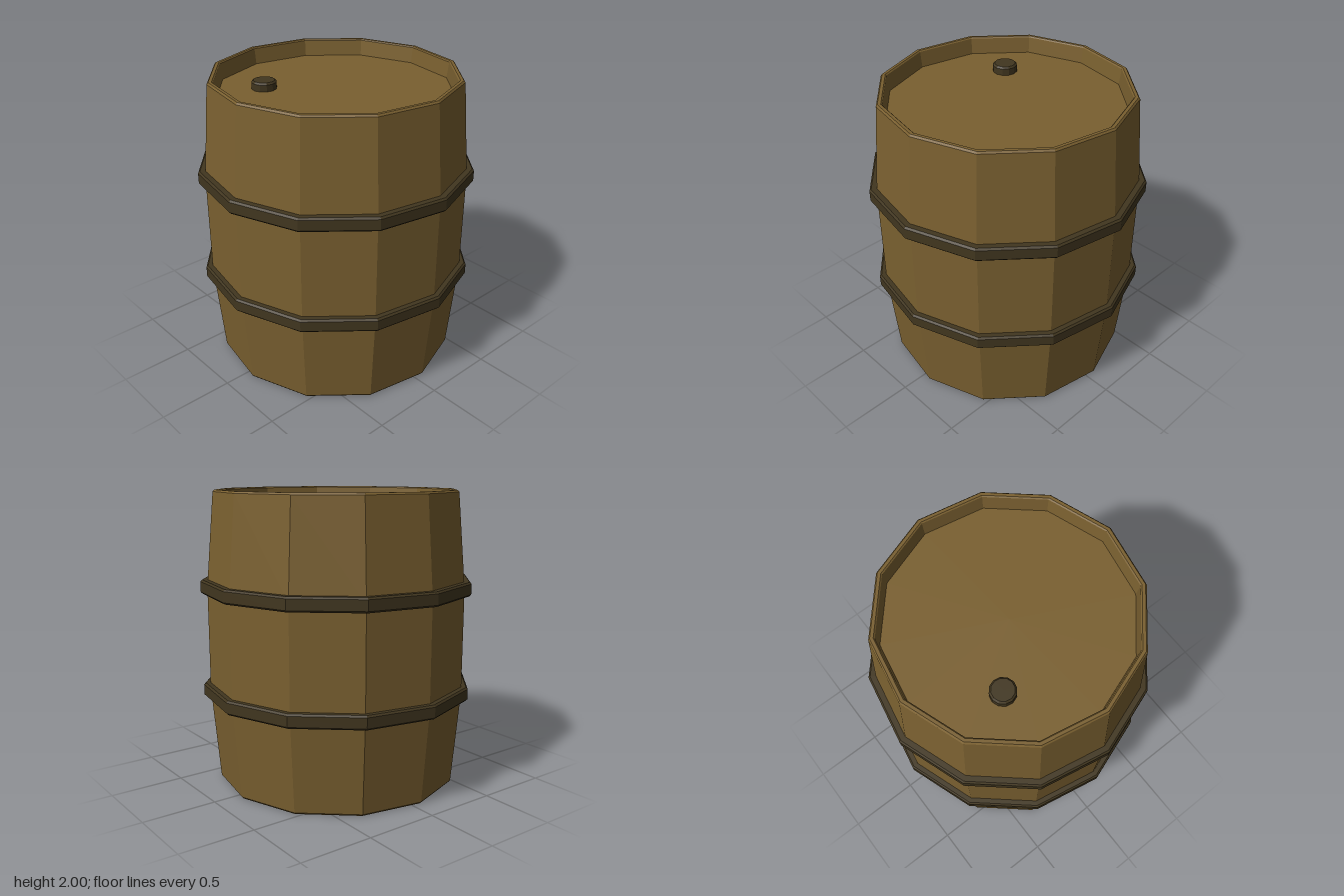
import * as THREE from 'three';

const SIDES = 12;
const TWIST = THREE.MathUtils.degToRad(4.4);
const BUNG = { x: -0.343, z: -0.313, r: 0.083 };
const RECESS = 0.115;

const wood = new THREE.MeshStandardMaterial({ color: 0x7a6030, flatShading: true });
const iron = new THREE.MeshStandardMaterial({ color: 0x41361f, flatShading: true });

function lathe(name, profile, material) {
  const points = profile.map(([r, y]) => new THREE.Vector2(r, y));
  const mesh = new THREE.Mesh(new THREE.LatheGeometry(points, SIDES, TWIST), material);
  mesh.name = name;
  return mesh;
}

// Regular polygon in the shape plane, lined up with the lathed parts
function polygon(r, cx = 0, cy = 0) {
  return Array.from({ length: SIDES }, (_, i) => {
    const a = TWIST + (i / SIDES) * Math.PI * 2;
    return new THREE.Vector2(cx + r * Math.sin(a), cy - r * Math.cos(a));
  });
}

export function createModel() {
  const barrel = new THREE.Group();
  barrel.name = 'barrel';

  // Staves, both bevelled rims and the recessed lid
  barrel.add(lathe('body', [
    [0.78, RECESS], [0.793, 0.008], [0.801, 0], [0.822, 0], [0.832, 0.012],
    [0.887, 0.645], [0.887, 1.36],
    [0.832, 1.988], [0.822, 2], [0.801, 2], [0.793, 1.992], [0.78, 2 - RECESS],
    [0, 2 - RECESS],
  ], wood));

  // Two iron hoops with bevelled edges
  const b = 0.012;
  for (const [name, y] of [['lowerHoop', 0.645], ['upperHoop', 1.36]]) {
    const h = 0.047, inner = 0.865, outer = 0.932;
    barrel.add(lathe(name, [
      [inner, y - h], [outer - b, y - h], [outer, y - h + b],
      [outer, y + h - b], [outer - b, y + h], [inner, y + h],
    ], iron));
  }

  // Bung standing on the lid
  const bung = lathe('bung', [
    [BUNG.r, 0], [BUNG.r, 0.045], [BUNG.r - b, 0.057], [0, 0.057],
  ], iron);
  bung.position.set(BUNG.x, 2 - RECESS, BUNG.z);
  barrel.add(bung);

  // Recessed bottom with a shallow hole
  const depth = 0.055;
  const disc = new THREE.Shape(polygon(0.781));
  disc.holes.push(new THREE.Path(polygon(BUNG.r, BUNG.x, -BUNG.z)));
  const bottom = new THREE.Mesh(
    new THREE.ExtrudeGeometry(disc, { depth, bevelEnabled: false }).rotateX(-Math.PI / 2), wood);
  bottom.name = 'bottom';
  bottom.position.y = RECESS;
  barrel.add(bottom);

  const holeEnd = new THREE.Mesh(
    new THREE.CircleGeometry(BUNG.r + 0.02, SIDES).rotateX(Math.PI / 2), wood);
  holeEnd.name = 'holeEnd';
  holeEnd.position.set(BUNG.x, RECESS + depth, BUNG.z);
  barrel.add(holeEnd);

  return barrel;
}
